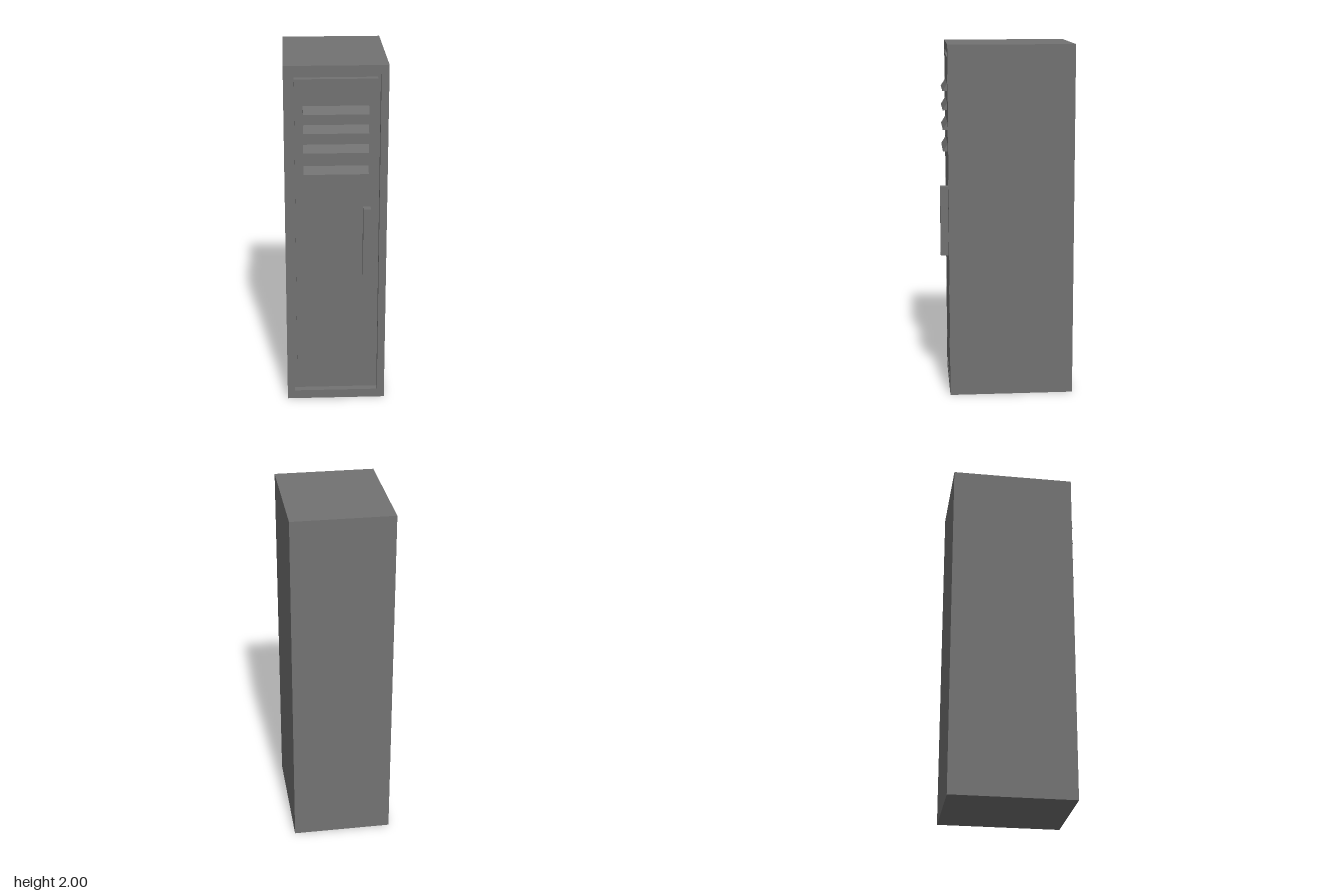
import * as THREE from 'three';

const BACK = -0.375, FRONT = 0.33, GROOVE = 0.04;
const WIDTH = 0.566, HEIGHT = 2;

// Rectangle path from its corners
function rectangle(path, x0, y0, x1, y1) {
  path.moveTo(x0, y0);
  path.lineTo(x1, y0);
  path.lineTo(x1, y1);
  path.lineTo(x0, y1);
  path.closePath();
  return path;
}

export function createModel() {
  const group = new THREE.Group();
  group.name = 'locker';
  const metal = new THREE.MeshStandardMaterial({ color: 0x727272 });
  metal.name = 'grey metal';

  function add(name, geometry, x = 0, y = 0, z = 0) {
    const mesh = new THREE.Mesh(geometry, metal);
    mesh.name = name;
    mesh.position.set(x, y, z);
    group.add(mesh);
    return mesh;
  }

  // Cabinet body, ending at the floor of the door groove
  const bodyDepth = FRONT - GROOVE - BACK;
  add('cabinet', new THREE.BoxGeometry(WIDTH, HEIGHT, bodyDepth), 0, HEIGHT / 2, BACK + bodyDepth / 2);

  // Front frame around the door opening
  const frame = rectangle(new THREE.Shape(), -WIDTH / 2, 0, WIDTH / 2, HEIGHT);
  frame.holes.push(rectangle(new THREE.Path(), -0.241, 0.052, 0.241, 1.952));
  add('doorFrame', new THREE.ExtrudeGeometry(frame, { depth: GROOVE, bevelEnabled: false }), 0, 0, FRONT - GROOVE);

  // Door panel, flush with the frame and separated by a groove
  add('door', new THREE.BoxGeometry(0.45, 1.85, GROOVE), 0, 1.002, FRONT - GROOVE / 2);

  // Sloped vent louvers: a wedge profile extruded across the door
  const wedge = new THREE.Shape();
  wedge.moveTo(0, 0);
  wedge.lineTo(0.026, 0);
  wedge.lineTo(0, 0.042);
  wedge.closePath();
  const louver = new THREE.ExtrudeGeometry(wedge, { depth: 0.356, bevelEnabled: false });
  louver.rotateY(-Math.PI / 2);
  // Profile x now points to +z and the extrusion runs along -x
  for (const y of [1.738, 1.632, 1.522, 1.4]) add('ventLouver', louver, 0.177, y, FRONT);

  // Handle bar
  add('handle', new THREE.BoxGeometry(0.042, 0.396, 0.045), 0.17, 1.003, FRONT + 0.0225);

  return group;
}
